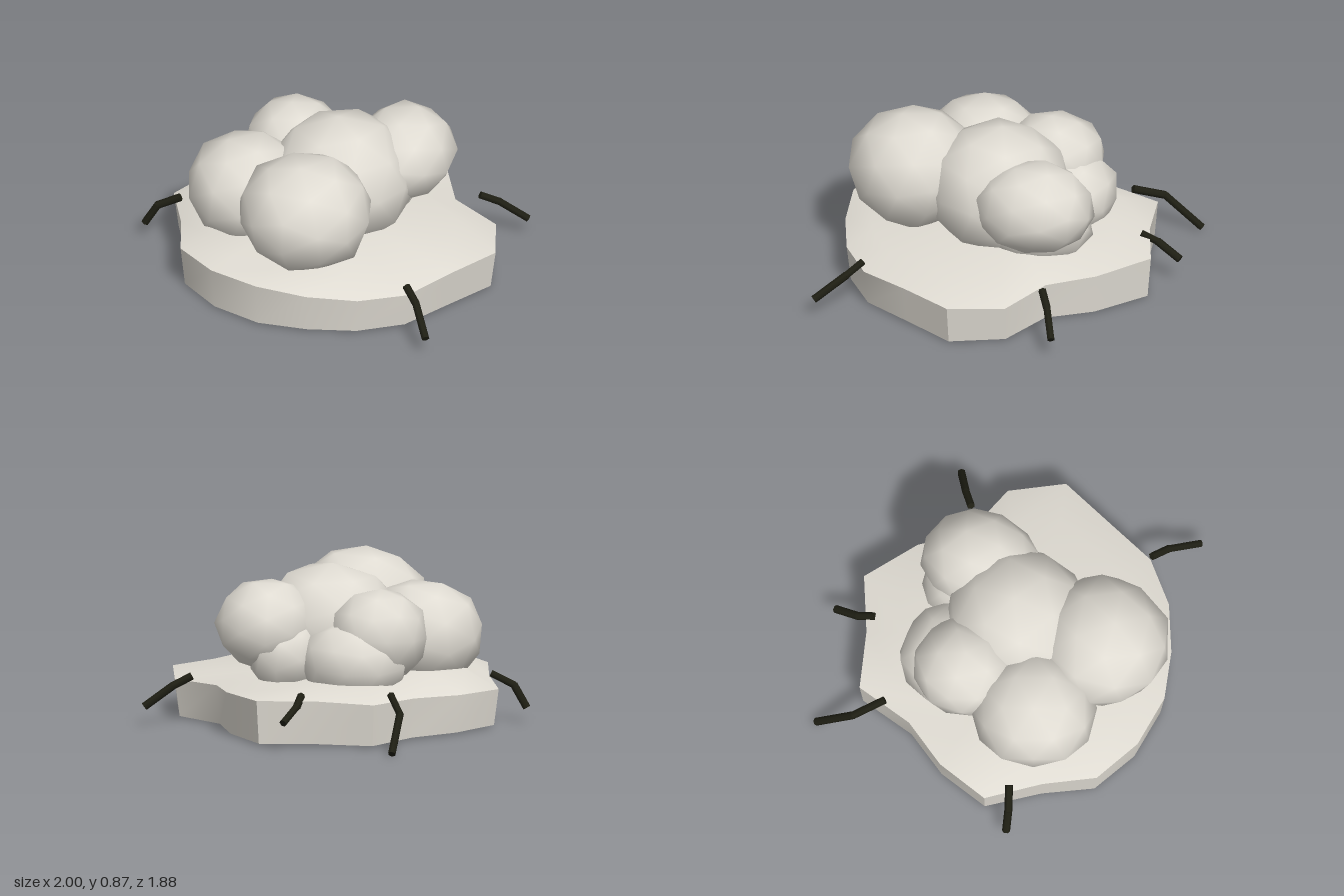
import * as THREE from 'three';
import { mergeVertices, toCreasedNormals } from 'three/addons/utils/BufferGeometryUtils.js';

const stone = new THREE.MeshStandardMaterial({ color: 0xe0dcd3, side: THREE.DoubleSide });
stone.name = 'pale grey';
const twig = new THREE.MeshStandardMaterial({ color: 0x1f1f14 });
twig.name = 'dark olive';

// Rim of the base: x, height, z, clockwise seen from above
const rim = [
  [-0.42, 0.25, -0.69], [-0.10, 0.26, -0.73], [0.21, 0.26, -0.82], [0.46, 0.25, -0.58], [0.60, 0.235, -0.33],
  [0.89, 0.225, -0.18], [1.0, 0.24, 0.12], [0.84, 0.235, 0.40], [0.69, 0.22, 0.67], [0.46, 0.225, 0.83],
  [0.19, 0.24, 0.91], [-0.09, 0.265, 0.94], [-0.38, 0.26, 0.86], [-0.62, 0.25, 0.69], [-0.72, 0.235, 0.41],
  [-0.87, 0.22, 0.12], [-0.74, 0.23, -0.16], [-0.55, 0.24, -0.38],
];

// Hollow base: gently domed top, flared wall, open underneath
function makeBase() {
  const n = rim.length;
  const rings = [
    rim.map(() => [0, 0.315, 0.05]),
    rim.map(([x, , z], i) => [x * 0.77, 0.3 - 0.015 * x + 0.01 * Math.sin(i * 2.1), z * 0.8 + 0.05]),
    rim,
    rim.map(([x, , z]) => [x * 0.97, 0.02, z * 0.975]),
  ];
  const index = [];
  for (let r = 0; r < rings.length - 1; r++) {
    for (let i = 0; i < n; i++) {
      const j = (i + 1) % n;
      const a = r * n, b = a + n;
      index.push(a + i, b + j, b + i);
      if (r > 0) index.push(a + i, a + j, b + j);
    }
  }
  const geometry = new THREE.BufferGeometry();
  geometry.setAttribute('position', new THREE.Float32BufferAttribute(rings.flat(2), 3));
  geometry.setIndex(index);
  const mesh = new THREE.Mesh(toCreasedNormals(geometry, Math.PI / 5), stone);
  mesh.name = 'base';
  return mesh;
}

// Low-poly rounded lump with a slightly uneven surface
function makeLump([name, center, radii], seed) {
  let geometry = new THREE.IcosahedronGeometry(1, 1);
  geometry.deleteAttribute('normal');
  geometry.deleteAttribute('uv');
  geometry = mergeVertices(geometry, 1e-3);
  geometry.rotateX(seed * 1.3 + 0.2).rotateY(seed * 0.9);
  const p = geometry.attributes.position;
  const v = new THREE.Vector3();
  for (let i = 0; i < p.count; i++) {
    v.fromBufferAttribute(p, i);
    v.multiplyScalar(1.015 + 0.03 * Math.sin(i * 2.7 + seed * 1.9));
    p.setXYZ(i, v.x, v.y, v.z);
  }
  geometry.scale(...radii);
  geometry.computeVertexNormals();
  const mesh = new THREE.Mesh(geometry, stone);
  mesh.name = name;
  mesh.position.set(...center);
  return mesh;
}

const lumps = [
  ['frontLump', [0.055, 0.555, 0.555], [0.37, 0.32, 0.36]],
  ['centreLump', [0.085, 0.515, 0.075], [0.4, 0.355, 0.39]],
  ['rightLump', [-0.38, 0.465, 0.28], [0.335, 0.305, 0.335]],
  ['backRightLump', [-0.27, 0.53, -0.145], [0.265, 0.255, 0.285]],
  ['backLump', [-0.16, 0.395, -0.23], [0.3, 0.23, 0.295]],
  ['backLeftLump', [0.345, 0.565, -0.2], [0.28, 0.25, 0.325]],
  ['lowLeftLump', [0.23, 0.42, -0.18], [0.22, 0.24, 0.31]],
];

// Bent legs, each given as root, knee and tip
const legs = [
  [[0.69, 0.28, 0.68], [0.77, 0.23, 0.75], [0.88, 0.12, 0.90]],
  [[0.74, 0.28, -0.35], [0.83, 0.23, -0.40], [0.97, 0.12, -0.46]],
  [[-0.79, 0.28, 0.24], [-0.91, 0.22, 0.265], [-0.98, 0.10, 0.27]],
  [[-0.47, 0.28, -0.54], [-0.57, 0.21, -0.69], [-0.59, 0.03, -0.89]],
  [[-0.01, 0.28, -0.71], [-0.015, 0.24, -0.80], [0.02, 0.17, -0.93]],
];

function makeLeg(points, i) {
  const group = new THREE.Group();
  group.name = 'leg' + (i + 1);
  const up = new THREE.Vector3(0, 1, 0);
  const pts = points.map((p) => new THREE.Vector3(...p));
  for (let s = 0; s < 2; s++) {
    const dir = pts[s + 1].clone().sub(pts[s]);
    const part = new THREE.Mesh(new THREE.CylinderGeometry(0.022, 0.022, dir.length() + 0.008, 6), twig);
    part.name = s ? 'lowerLeg' : 'upperLeg';
    part.position.copy(pts[s]).addScaledVector(dir, 0.5);
    part.quaternion.setFromUnitVectors(up, dir.normalize());
    group.add(part);
  }
  return group;
}

export function createModel() {
  const model = new THREE.Group();
  model.name = 'lumpyCreature';
  model.add(makeBase(), ...lumps.map(makeLump), ...legs.map(makeLeg));
  return model;
}
